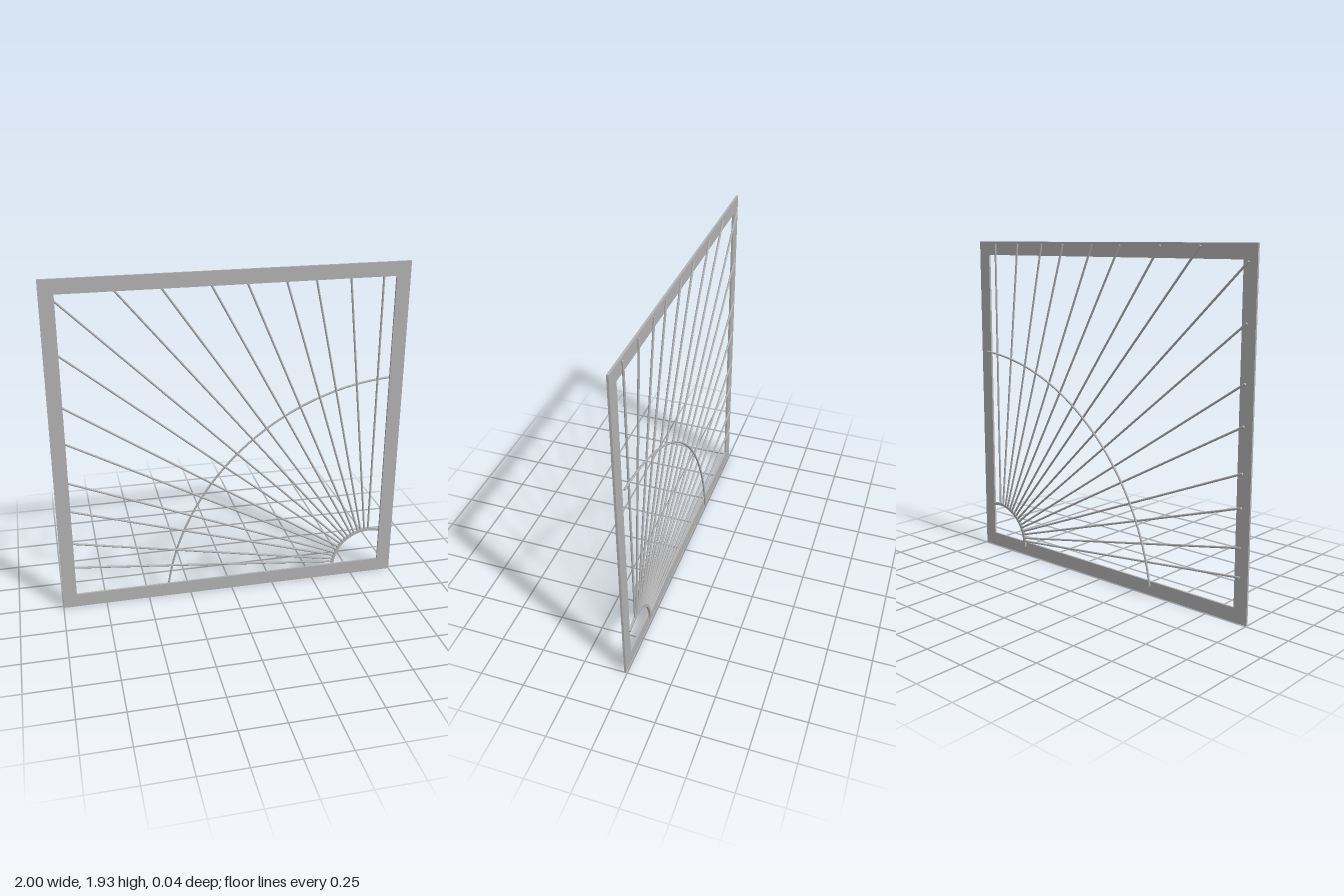
import * as THREE from 'three';

const steel = new THREE.MeshStandardMaterial({ color: 0xb2b2b2 });
steel.name = 'greySteel';

const W = 2, H = 1.93, BAR = 0.08;
const HUB = { x: 0.855, y: 0.065, r: 0.22 };
const rad = THREE.MathUtils.degToRad;

function add(group, name, geometry) {
  const mesh = new THREE.Mesh(geometry, steel);
  mesh.name = name;
  group.add(mesh);
  return mesh;
}

// Flat rectangular outline with a rectangular opening
function frameGeometry() {
  const rect = (P, x, y) => new P([
    new THREE.Vector2(-x, y), new THREE.Vector2(x, y),
    new THREE.Vector2(x, H - y), new THREE.Vector2(-x, H - y),
  ]);
  const shape = rect(THREE.Shape, W / 2, 0);
  shape.holes.push(rect(THREE.Path, W / 2 - BAR, BAR));
  return new THREE.ExtrudeGeometry(shape, { depth: 0.012, bevelEnabled: false });
}

// Flat curved bar between two angles
function curvedBar(r, width, depth, a0, a1) {
  const shape = new THREE.Shape();
  shape.absarc(0, 0, r + width / 2, a0, a1, false);
  shape.absarc(0, 0, r - width / 2, a1, a0, true);
  return new THREE.ExtrudeGeometry(shape, { depth, bevelEnabled: false, curveSegments: 32 });
}

// Round bar between two points in the plane z = 0
function rod(group, name, x0, y0, x1, y1) {
  const length = Math.hypot(x1 - x0, y1 - y0);
  const mesh = add(group, name, new THREE.CylinderGeometry(0.006, 0.006, length, 12));
  mesh.position.set((x0 + x1) / 2, (y0 + y1) / 2, 0);
  mesh.rotation.z = Math.atan2(y1 - y0, x1 - x0) - Math.PI / 2;
}

export function createModel() {
  const model = new THREE.Group();
  model.name = 'sunburstGrille';

  add(model, 'frame', frameGeometry()).position.z = 0.006;

  // Small hub arc in the lower corner
  add(model, 'hubArc', curvedBar(HUB.r, 0.016, 0.012, rad(68), rad(183)))
    .position.set(HUB.x, HUB.y, -0.006);

  // Rays: where each one meets the inner edge of the frame
  const rays = new THREE.Group();
  rays.name = 'rays';
  model.add(rays);
  const leftY = [0.25, 0.405, 0.61, 0.785, 1.02, 1.23, 1.52, 1.81];
  const topX = [-0.615, -0.37, -0.105, 0.09, 0.305, 0.47, 0.665, 0.853];
  const targets = [
    ...leftY.map((y) => [-0.92, y]),
    ...topX.map((x) => [x, 1.85]),
  ];
  targets.forEach(([tx, ty], i) => {
    const dx = tx - HUB.x, dy = ty - HUB.y, d = Math.hypot(dx, dy);
    // each ray runs on behind the frame bar
    const k = i < leftY.length ? (-0.953 - HUB.x) / dx : (1.915 - HUB.y) / dy;
    rod(rays, 'ray', HUB.x + dx / d * HUB.r, HUB.y + dy / d * HUB.r,
      HUB.x + dx * k, HUB.y + dy * k);
  });

  // Large arc crossing behind the rays
  const a0 = rad(93.3), a1 = rad(171.4);
  const arc = add(model, 'largeArc', new THREE.TorusGeometry(1.412, 0.006, 12, 64, a1 - a0));
  arc.rotation.z = a0;
  arc.position.set(1.018, -0.152, -0.012);
  // Caps on the ends of the large arc
  [[a0, -1], [a1, 1]].forEach(([a, side]) => {
    const cap = add(model, 'arcEnd', new THREE.CircleGeometry(0.006, 12));
    cap.position.set(1.018 + 1.412 * Math.cos(a), -0.152 + 1.412 * Math.sin(a), -0.012);
    cap.lookAt(cap.position.clone().add(
      new THREE.Vector3(-Math.sin(a) * side, Math.cos(a) * side, 0)));
  });

  return model;
}
